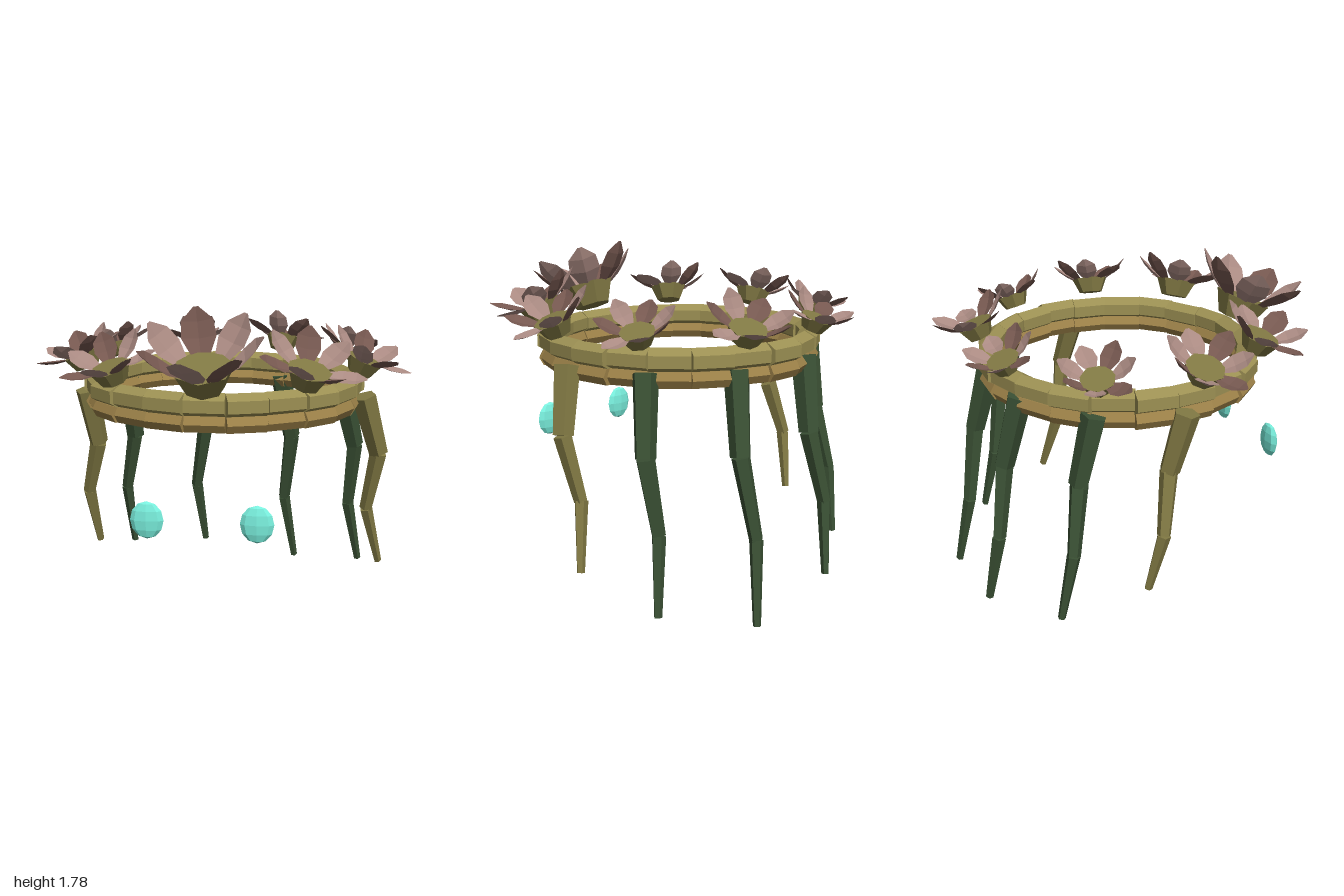
import * as THREE from 'three';

const mat = (color, side = THREE.FrontSide) =>
  new THREE.MeshStandardMaterial({ color, side, flatShading: true });
const bark = mat(0x9c9053), tan = mat(0x9c8148), olive = mat(0x807843), green = mat(0x3a5034);
const pink = mat(0xaa8a82, THREE.DoubleSide), brown = mat(0x765850, THREE.DoubleSide);
const teal = mat(0x7af0de);
const CZ = -0.08; // z of the ring's centre
const DEG = Math.PI / 180;

function add(parent, name, geometry, material) {
  const mesh = new THREE.Mesh(geometry, material);
  mesh.name = name;
  parent.add(mesh);
  return mesh;
}

// Slightly oval ring of short six-sided logs laid end to end
function logRing(name, y, thickness, turn, material) {
  const ring = new THREE.Group();
  ring.name = name;
  const count = 22;
  for (let i = 0; i < count; i++) {
    const a = (i / count) * Math.PI * 2;
    const jitter = 0.009 * Math.sin(i * 2.4);
    const geo = new THREE.CylinderGeometry(thickness, thickness, 0.205, 6).rotateY(turn).rotateZ(Math.PI / 2);
    const log = add(ring, 'log', geo, material);
    log.position.set(Math.sin(a) * (0.703 + jitter), y, CZ + Math.cos(a) * (0.688 + jitter));
    log.rotation.y = a + 0.05 * Math.sin(i * 1.7);
  }
  return ring;
}

// Pointed petal along +x: cross-sections of [distance, half width, lift], with a sunken midrib
function petalGeometry() {
  const rows = [[0, 0.05, 0], [0.085, 0.088, 0], [0.17, 0.08, 0.012], [0.24, 0.012, 0.03]];
  const pos = [], idx = [];
  rows.forEach(([x, w, y], i) => {
    pos.push(x, y + w * 0.15, -w, x, y - w * 0.1, 0, x, y + w * 0.15, w);
    if (i === 0) return;
    for (let j = 0; j < 2; j++) {
      const b = i * 3 + j, a = b - 3;
      idx.push(a, a + 1, b, b, a + 1, b + 1);
    }
  });
  const geo = new THREE.BufferGeometry();
  geo.setAttribute('position', new THREE.Float32BufferAttribute(pos, 3));
  geo.setIndex(idx);
  geo.computeVertexNormals();
  return geo;
}
const petalGeo = petalGeometry();

// How far each petal rises, in degrees: upright on the large flower, open on the others
const UPRIGHT = [40, 44, 46, 36, 38, 38, 38];
const OPEN = [4, 27, 34, 12, 28, 36, 30];

// Flower: flared cup with seven petals, leaning away from the ring's centre
function flower(angle, size, lifts) {
  const g = new THREE.Group();
  g.name = 'flower';
  add(g, 'flowerCup', new THREE.CylinderGeometry(0.155, 0.1, 0.12, 7), olive);
  lifts.forEach((lift, i) => {
    const holder = new THREE.Group();
    holder.name = 'petalHolder';
    holder.rotation.y = (-i / 7) * Math.PI * 2;
    const petal = add(holder, 'petal', petalGeo, i % 2 ? brown : pink);
    petal.position.set(0.135, 0.055, 0);
    petal.rotation.z = lift * DEG;
    g.add(holder);
  });
  const s = Math.sin(angle), c = Math.cos(angle);
  const reach = 0.8 - 0.05 * size;
  g.position.set(s * reach, 1.39 + 0.06 * size, CZ + c * reach * 0.97);
  g.quaternion.setFromAxisAngle(new THREE.Vector3(c, 0, -s), 23 * DEG);
  g.scale.setScalar(size);
  return g;
}

// Tapered cylinder between two points
function limb(parent, name, from, to, r0, r1, material) {
  const dir = to.clone().sub(from);
  const mesh = add(parent, name, new THREE.CylinderGeometry(r1, r0, dir.length(), 5), material);
  mesh.position.copy(from).add(to).multiplyScalar(0.5);
  mesh.quaternion.setFromUnitVectors(new THREE.Vector3(0, 1, 0), dir.normalize());
}

// Hanging tendril of three thinning segments
function tendril(points, material) {
  const g = new THREE.Group();
  g.name = 'tendril';
  const radii = [[0.068, 0.054], [0.049, 0.036], [0.037, 0.021]];
  const p = points.map((q) => new THREE.Vector3(...q));
  radii.forEach(([r0, r1], i) => limb(g, 'tendrilSegment', p[i], p[i + 1], r0, r1, material));
  return g;
}

export function createModel() {
  const model = new THREE.Group();
  model.name = 'flowerCrown';

  model.add(logRing('upperRing', 1.31, 0.062, Math.PI / 6, bark));
  model.add(logRing('lowerRing', 1.217, 0.047, 0, tan));

  // Nine flowers, the largest at the front
  const sizes = [1, 0.76, 0.67, 0.6, 0.66, 0.57, 0.58, 0.67, 0.69];
  sizes.forEach((size, i) => model.add(flower(i * 40 * DEG, size, i ? OPEN : UPRIGHT)));

  // Tendrils around the sides and back
  const tendrils = [
    [olive, [-0.77, 1.25, -0.04], [-0.73, 0.93, -0.11], [-0.81, 0.62, -0.17], [-0.77, 0.3, -0.235]],
    [olive, [0.77, 1.25, -0.05], [0.86, 0.92, -0.115], [0.8, 0.58, -0.17], [0.88, 0.24, -0.25]],
    [green, [-0.63, 1.25, -0.46], [-0.61, 0.88, -0.54], [-0.68, 0.53, -0.6], [-0.655, 0.16, -0.665]],
    [green, [0.63, 1.25, -0.46], [0.72, 0.86, -0.55], [0.69, 0.48, -0.61], [0.76, 0.1, -0.675]],
    [green, [-0.265, 1.25, -0.72], [-0.22, 0.86, -0.805], [-0.285, 0.48, -0.87], [-0.24, 0.1, -0.93]],
    [green, [0.26, 1.25, -0.72], [0.325, 0.84, -0.81], [0.28, 0.42, -0.88], [0.345, 0.005, -0.95]],
  ];
  for (const [material, ...points] of tendrils) model.add(tendril(points, material));

  // Pair of flattened eyes floating below the front
  for (const x of [-0.278, 0.272]) {
    const eye = add(model, 'eye', new THREE.SphereGeometry(1, 8, 6), teal);
    eye.scale.set(0.085, 0.097, 0.028);
    eye.position.set(x, 0.745, 0.72);
  }
  return model;
}
